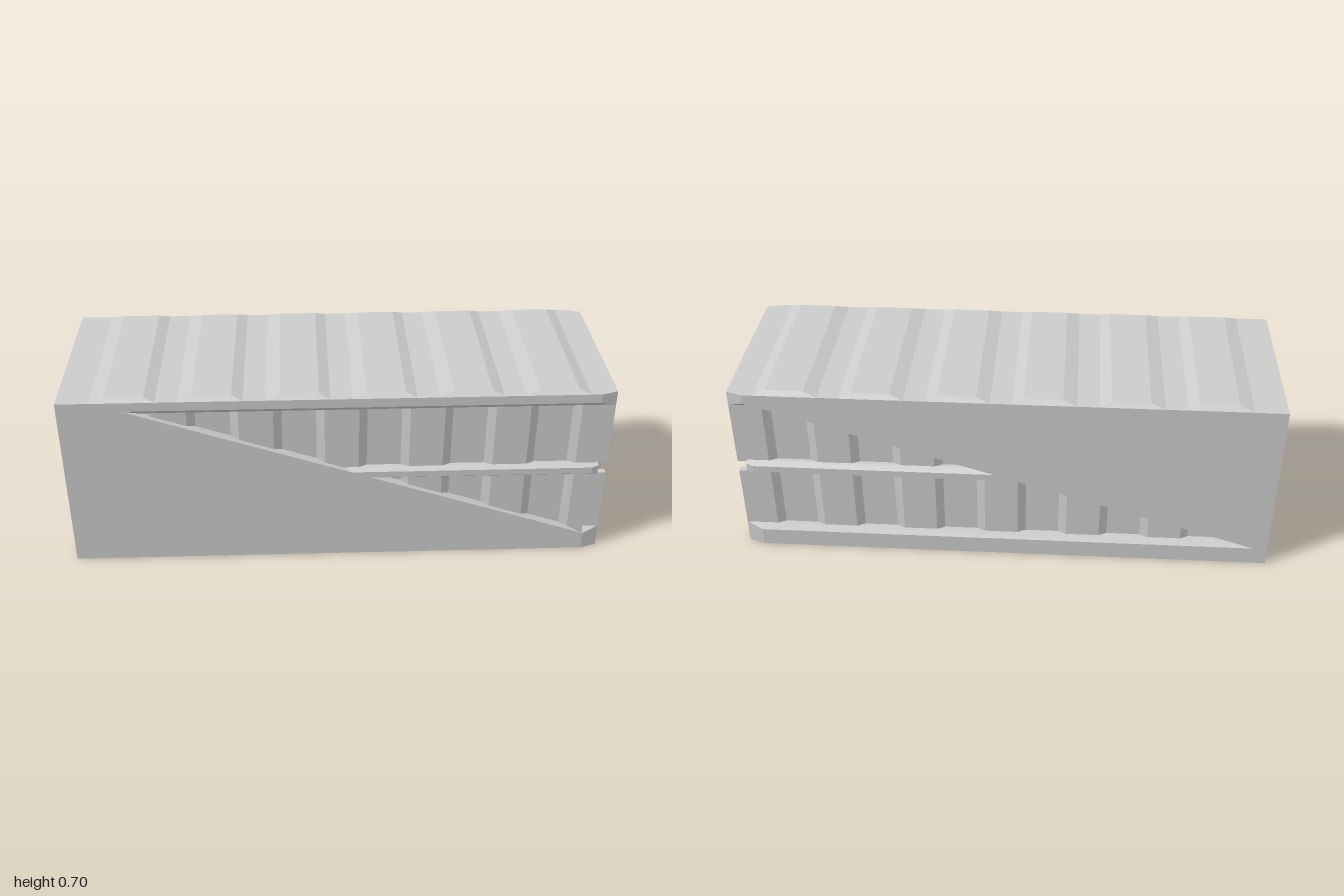
import * as THREE from 'three';

const H = 0.69;        // deck height, below the roof ridges
const SKIN = 0.335;    // outer side face
const WALL = 0.315;    // crest of the corrugated wall
const GROOVE = 0.30;   // valley of the corrugated wall
const INNER = 0.292;   // inside of the end frames
const CUT = 0.94;      // where the corner chamfer starts

const material = new THREE.MeshStandardMaterial({ color: 0xcccccc, flatShading: true });

function add(parent, name, geometry) {
  const mesh = new THREE.Mesh(geometry, material);
  mesh.name = name;
  parent.add(mesh);
  return mesh;
}

function box(x0, x1, y0, y1, z0, z1) {
  return new THREE.BoxGeometry(x1 - x0, y1 - y0, z1 - z0)
    .translate((x0 + x1) / 2, (y0 + y1) / 2, (z0 + z1) / 2);
}

// Capped stack of matching counter-clockwise rings of [x, y, z], front ring first
function prism(rings) {
  const pos = [];
  const tri = (...pts) => pts.forEach((p) => pos.push(...p));
  const front = rings[0];
  const flat = front.map((p) => new THREE.Vector2(p[0], p[1]));
  for (const [a, b, c] of THREE.ShapeUtils.triangulateShape(flat, [])) tri(front[a], front[b], front[c]);
  for (let r = 0; r + 1 < rings.length; r++) {
    const a = rings[r], b = rings[r + 1];
    for (let i = 0; i < a.length; i++) {
      const j = (i + 1) % a.length;
      tri(a[i], b[i], b[j]);
      tri(a[i], b[j], a[j]);
    }
  }
  const geometry = new THREE.BufferGeometry();
  geometry.setAttribute('position', new THREE.Float32BufferAttribute(pos, 3));
  geometry.computeVertexNormals();
  return geometry;
}

// One side: solid wedge with beams and a middle rail, all with bevelled ledges.
// "flip" turns it over for the opposite side.
function buildSide(apexX, flip) {
  const side = new THREE.Group();
  const mapY = (y) => (!flip ? y : y === 0 ? H : y === H ? 0 : 0.725 - y);
  const skinZ = (x) => SKIN - Math.max(0, (x - CUT) / (1 - CUT)) * (SKIN - WALL);
  const place = (x, y, z) => (flip ? [x, mapY(y), -z] : [x, y, z]);
  const diag = (y) => apexX + ((0.655 - y) / (0.655 - 0.07)) * (CUT - apexX);

  const piece = (name, outer, inner) => {
    const geometry = prism([
      outer.map(([x, y]) => [x, y, skinZ(x)]),
      inner.map(([x, y]) => [x, y, WALL]),
      inner.map(([x, y]) => [x, y, 0.295]),
    ]);
    const p = geometry.attributes.position;
    for (let i = 0; i < p.count; i++) p.setXYZ(i, ...place(p.getX(i), +p.getY(i).toFixed(4) , p.getZ(i)));
    // the deck edges land exactly on the floor and roof levels
    for (let i = 0; i < p.count; i++) {
      if (p.getY(i) > H) p.setY(i, H);
      if (p.getY(i) < 0.0361 && flip) p.setY(i, 0);
    }
    geometry.computeVertexNormals();
    add(side, name, geometry);
  };

  const contour = (low, railLow, railHigh, high) => [
    [-1, 0], [CUT, 0], [diag(low), low],
    [diag(railLow), railLow], [CUT, railLow], [CUT, railHigh], [diag(railHigh), railHigh],
    [diag(high), high], [CUT, high], [CUT, H], [-1, H],
  ];
  piece('sideSkin', contour(0.07, 0.35, 0.375, 0.655), contour(0.09, 0.335, 0.385, 0.635));

  // Chamfered tips at the door end
  piece('lowerBeamTip',
    [[CUT, 0], [1, 0], [1, 0.09], [CUT, 0.07]],
    [[CUT, 0], [1, 0], [1, 0.09], [CUT, 0.09]]);
  piece('railTip',
    [[CUT, 0.35], [0.965, 0.344], [0.965, 0.379], [CUT, 0.375]],
    [[CUT, 0.335], [0.965, 0.335], [0.965, 0.385], [CUT, 0.385]]);
  piece('upperBeamTip',
    [[CUT, 0.655], [1, 0.635], [1, H], [CUT, H]],
    [[CUT, 0.635], [1, 0.635], [1, H], [CUT, H]]);

  // Corrugated wall, cut short behind the rail to leave the notch in the end post
  for (const [y0, y1, end] of [[0.01, 0.338, 1], [0.338, 0.382, 0.965], [0.382, 0.68, 1]]) {
    const s = new THREE.Shape();
    s.moveTo(-1, INNER);
    s.lineTo(end, INNER);
    s.lineTo(end, WALL);
    for (let x = 0.88; x > -0.9; x -= 0.31) {
      s.lineTo(x, WALL);
      s.lineTo(x - 0.03, GROOVE);
      s.lineTo(x - 0.155, GROOVE);
      s.lineTo(x - 0.185, WALL);
    }
    s.lineTo(-1, WALL);
    const geometry = new THREE.ExtrudeGeometry(s, { depth: y1 - y0, bevelEnabled: false });
    geometry.rotateX(Math.PI / 2).translate(0, y1, 0);
    // the wall runs along the same x on both sides
    if (flip) geometry.rotateX(Math.PI).translate(0, y0 + y1, 0);
    add(side, 'corrugatedWall', geometry);
  }
  return side;
}

// Doors: two raised leaves meeting along a stepped seam
function buildDoors() {
  const doors = new THREE.Group();
  doors.name = 'doors';
  const seam = [
    [-0.012, 0.02], [-0.012, 0.097], [0.028, 0.122], [0.028, 0.232], [-0.012, 0.257],
    [-0.012, 0.435], [0.028, 0.46], [0.028, 0.567], [-0.012, 0.592], [-0.012, 0.668],
  ];
  for (const [name, edge] of [['leftDoor', -0.281], ['rightDoor', 0.281]]) {
    const outline = [...seam, [edge, 0.668], [edge, 0.02]].map((p) => new THREE.Vector2(...p));
    const geometry = new THREE.ExtrudeGeometry(new THREE.Shape(outline), {
      depth: 0.02, bevelThickness: 0.013, bevelSize: 0.011, bevelOffset: -0.011, bevelSegments: 1,
    });
    add(doors, name, geometry.rotateY(Math.PI / 2).translate(0.952, 0, 0));
  }
  return doors;
}

export function createModel() {
  const model = new THREE.Group();
  model.name = 'cargoContainer';

  // Inner body and the plates that close the end frames
  add(model, 'core', box(-0.985, 0.97, 0.005, 0.685, -0.298, 0.298));
  add(model, 'floorPlate', box(-1, 1, 0, 0.016, -GROOVE, GROOVE));
  add(model, 'roofPlate', box(-1, 1, 0.672, H, -GROOVE, GROOVE));

  const front = buildSide(-0.77, false);
  front.name = 'frontSide';
  const back = buildSide(-0.95, true);
  back.name = 'backSide';
  model.add(front, back, buildDoors());

  // Shallow ridges across the roof
  const rect = (x0, x1, w, y) => [[x0, -w, y], [x1, -w, y], [x1, w, y], [x0, w, y]];
  for (let i = 0; i < 6; i++) {
    const x = -0.88 + i * 0.31;
    const ridge = prism([rect(x + 0.05, x + 0.19, WALL, 0.704), rect(x, x + 0.23, SKIN, H)]);
    add(model, 'roofRidge', ridge.rotateX(-Math.PI / 2));
  }
  return model;
}
